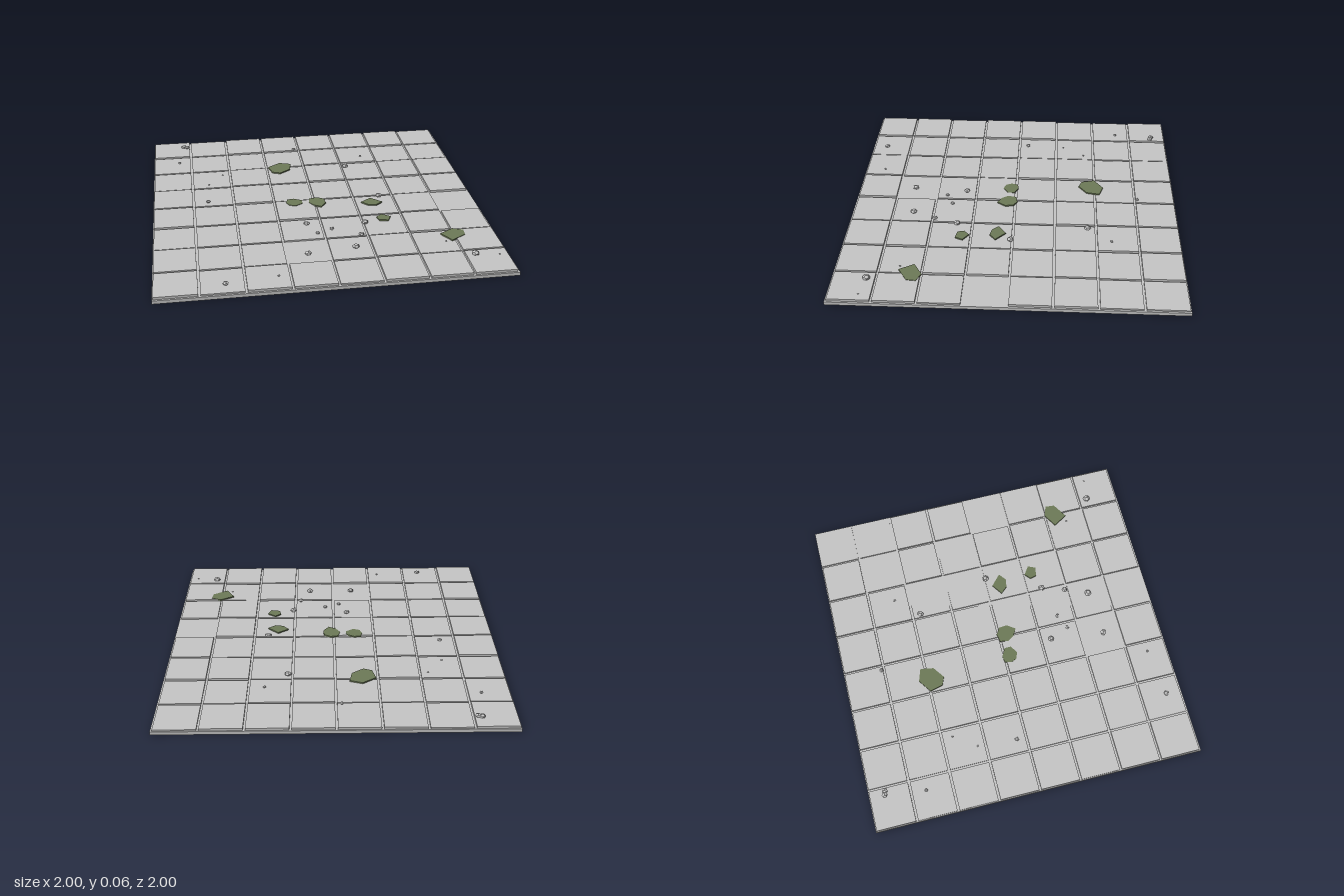
import * as THREE from 'three';

const BASE_H = 0.02, TILE = 0.237, PITCH = 0.2495, LOW = 0.029, HIGH = 0.034;

// Rows run from back to front: H raised tile, l lower tile, . no tile
const LAYOUT = [
  'HlHHHHHl',
  'llllHHll',
  'llHlHlHH',
  'HlHllllH',
  'HllHllH.',
  'llllllHl',
  'Hll.lHlH',
  'HlHHlHHH',
];

// Moss outlines as x, z corners
const MOSS = [
  [[-0.24, -0.50], [-0.16, -0.555], [-0.085, -0.53], [-0.10, -0.45], [-0.17, -0.40], [-0.22, -0.42]],
  [[-0.17, -0.01], [-0.13, -0.016], [-0.08, 0.01], [-0.08, 0.05], [-0.125, 0.08], [-0.165, 0.065], [-0.18, 0.03]],
  [[-0.03, -0.005], [0.02, -0.015], [0.06, 0.01], [0.065, 0.06], [0.03, 0.11], [-0.015, 0.085], [-0.04, 0.045]],
  [[0.285, 0.085], [0.35, 0.04], [0.415, 0.10], [0.37, 0.135], [0.32, 0.125]],
  [[0.34, 0.29], [0.375, 0.26], [0.425, 0.295], [0.405, 0.34], [0.35, 0.33]],
  [[0.67, 0.545], [0.755, 0.495], [0.815, 0.52], [0.81, 0.575], [0.72, 0.63]],
];

// Pebbles as x, z, radius
const PEBBLES = [
  [-0.797, -0.905, 0.018], [-0.775, -0.898, 0.017], [-0.83, -0.66, 0.01], [-0.035, -0.765, 0.012],
  [0.405, -0.59, 0.009], [0.275, -0.45, 0.02], [-0.55, -0.435, 0.006], [-0.645, -0.30, 0.006],
  [-0.66, -0.06, 0.014], [0.41, 0.01, 0.02], [-0.09, 0.31, 0.018], [0.05, 0.39, 0.013],
  [-0.04, 0.43, 0.012], [0.26, 0.342, 0.02], [0.212, 0.482, 0.016], [0.153, 0.62, 0.021],
  [-0.126, 0.642, 0.02], [0.683, 0.626, 0.006], [0.806, 0.798, 0.022], [0.94, 0.82, 0.005],
  [-0.318, 0.872, 0.007], [-0.608, 0.905, 0.017],
];

const cellOf = (v) => Math.min(7, Math.max(0, Math.floor((v + 1) * 4)));
function topAt(x, z) {
  const c = LAYOUT[cellOf(z)][cellOf(x)];
  return c === 'H' ? HIGH : c === 'l' ? LOW : BASE_H;
}

export function createModel() {
  const root = new THREE.Group();
  root.name = 'tiledFloor';
  const stone = new THREE.MeshStandardMaterial({ color: 0xc6c6c6 });
  stone.name = 'stone';
  const moss = new THREE.MeshStandardMaterial({ color: 0x6e7b58 });
  moss.name = 'moss';

  const add = (parent, name, geometry, material, x, y, z) => {
    const mesh = new THREE.Mesh(geometry, material);
    mesh.name = name;
    mesh.position.set(x, y, z);
    parent.add(mesh);
    return mesh;
  };
  const group = (name) => {
    const g = new THREE.Group();
    g.name = name;
    root.add(g);
    return g;
  };

  // Slab under the paving
  add(root, 'baseSlab', new THREE.BoxGeometry(2, BASE_H, 2), stone, 0, BASE_H / 2, 0);

  // Square paving tiles with open joints
  const tiles = group('tiles');
  LAYOUT.forEach((row, j) => [...row].forEach((c, i) => {
    if (c === '.') return;
    const h = (c === 'H' ? HIGH : LOW) - BASE_H;
    add(tiles, 'tile', new THREE.BoxGeometry(TILE, h, TILE), stone,
      -0.8755 + i * PITCH, BASE_H + h / 2, -0.8755 + j * PITCH);
  }));

  // Thin irregular moss patches lying on the tiles
  const patches = group('mossPatches');
  for (const pts of MOSS) {
    const shape = new THREE.Shape(pts.map(([x, z]) => new THREE.Vector2(x, -z)));
    const geo = new THREE.ExtrudeGeometry(shape, { depth: 0.009, bevelEnabled: false });
    geo.rotateX(-Math.PI / 2);
    add(patches, 'mossPatch', geo, moss, 0, 0.028, 0);
  }

  // Loose faceted pebbles, slightly flattened
  const pebbles = group('pebbles');
  PEBBLES.forEach(([x, z, r], i) => {
    const geo = new THREE.DodecahedronGeometry(r, 0);
    geo.rotateX(i * 1.3).rotateY(i * 2.1).scale(1, 0.65, 1);
    add(pebbles, 'pebble', geo, stone, x, topAt(x, z) + r * 0.35, z);
  });

  return root;
}
